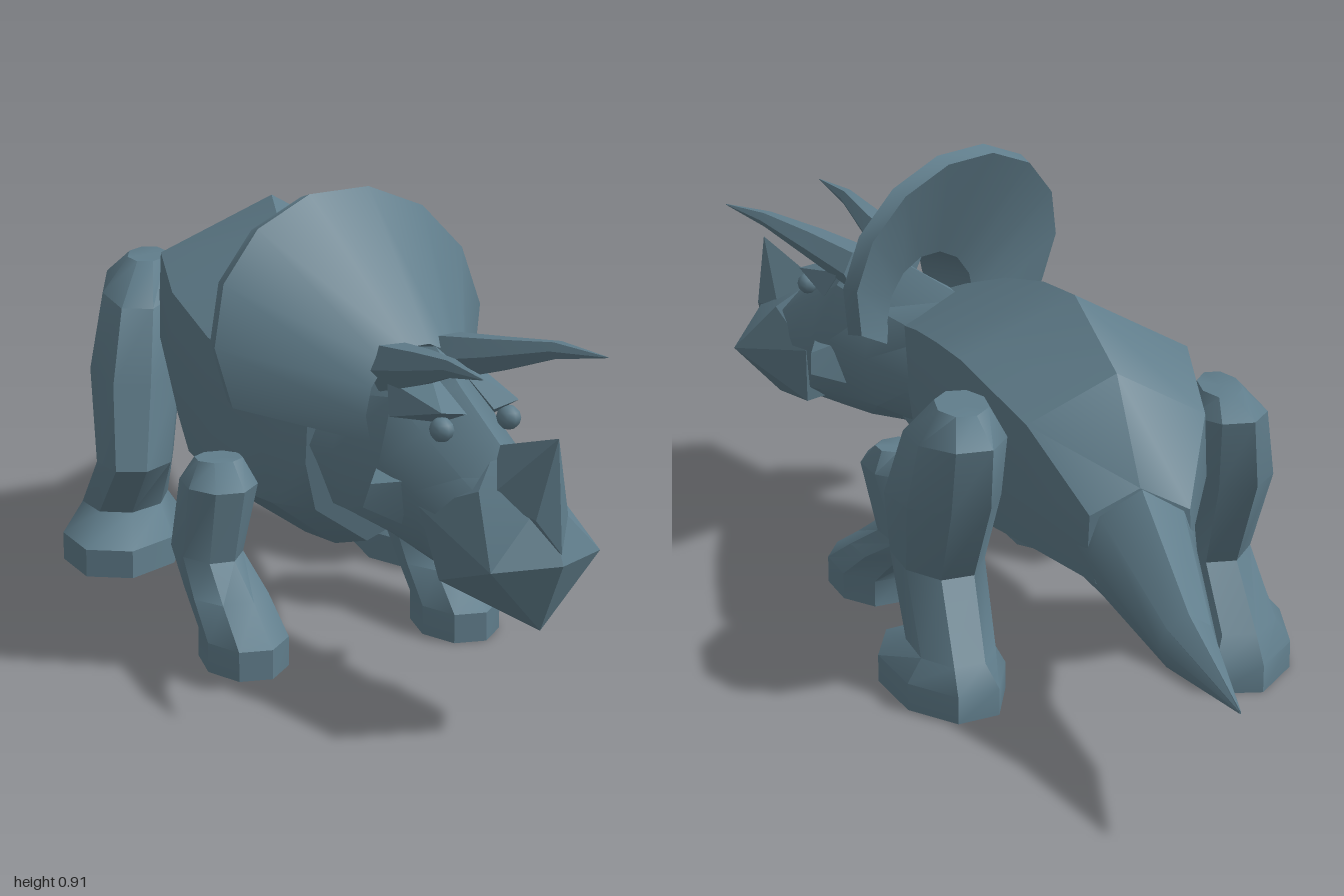
import * as THREE from 'three';
import { toCreasedNormals } from 'three/addons/utils/BufferGeometryUtils.js';
import { ConvexGeometry } from 'three/addons/geometries/ConvexGeometry.js';

const skin = new THREE.MeshStandardMaterial({ color: 0x607d8b });
skin.name = 'slate blue skin';

// Closed skin over a list of equal-sized rings of [x, y, z] points
function loft(rings) {
  const n = rings[0].length, pos = rings.flat(2), idx = [];
  for (let r = 0; r < rings.length - 1; r++)
    for (let i = 0; i < n; i++) {
      const j = (i + 1) % n, a = r * n + i, b = r * n + j;
      idx.push(a, b, b + n, a, b + n, a + n);
    }
  [0, rings.length - 1].forEach((r, end) => {
    const c = pos.length / 3;
    for (let k = 0; k < 3; k++) pos.push(rings[r].reduce((s, p) => s + p[k], 0) / n);
    for (let i = 0; i < n; i++) {
      const a = r * n + i, b = r * n + (i + 1) % n;
      end ? idx.push(a, b, c) : idx.push(b, a, c);
    }
  });
  // turn faces outward
  const P = i => new THREE.Vector3().fromArray(pos, i * 3);
  let volume = 0;
  for (let t = 0; t < idx.length; t += 3) volume += P(idx[t]).dot(P(idx[t + 1]).cross(P(idx[t + 2])));
  if (volume < 0) idx.reverse();
  const g = new THREE.BufferGeometry();
  g.setAttribute('position', new THREE.Float32BufferAttribute(pos, 3));
  g.setIndex(idx);
  return toCreasedNormals(g, 0.7);
}

function add(parent, name, geometry) {
  const m = new THREE.Mesh(geometry, skin);
  m.name = name;
  parent.add(m);
  return m;
}

// Half outlines of upright sections, top to bottom: slab-sided trunk, rounder head and tail
const octagon = half => [...half, ...half.slice(1, -1).reverse().map(([a, b]) => [-a, b])];
const TRUNK = octagon([[0, 1], [0.97, 0.58], [1, 0], [0.84, -0.6], [0, -1]]);
const ROUND = octagon([[0, 1], [0.76, 0.6], [1, 0], [0.74, -0.65], [0, -1]]);

// Section fitted to [z, xMin, xMax, yMin, yMax]
const section = outline => ([z, x0, x1, y0, y1]) => outline.map(([a, b]) =>
  [(x0 + x1) / 2 + a * (x1 - x0) / 2, (y0 + y1) / 2 + b * (y1 - y0) / 2, z]);

// Level leg section: [x, y, z, halfWidth, halfDepth, turn, tilt]
function legRing([x, y, z, rx, rz, turn = 0, tilt = 0]) {
  const c = Math.cos(turn), s = Math.sin(turn);
  return Array.from({ length: 8 }, (_, i) => {
    const t = (i + 0.5) * Math.PI / 4, u = rx * 1.06 * Math.cos(t), w = rz * 1.06 * Math.sin(t);
    return [x + u * c + w * s, y + w * tilt, z - u * s + w * c];
  });
}

// Leg from shoulder or hip down to a straight-sided foot
function addLeg(model, name, rings, [x, z, rx, rz, turn]) {
  const foot = [[x, 0.058, z, rx, rz, turn], [x, 0, z, rx, rz, turn]];
  add(model, name, loft([...rings, ...foot].map(legRing)));
}

function createHead() {
  const head = new THREE.Group();
  head.name = 'head';

  // Neck, brow and snout
  add(head, 'skull', loft([
    [-0.08, -0.15, 0.13, 0.28, 0.6], [0.1, -0.14, 0.13, 0.27, 0.63],
    [0.23, -0.125, 0.125, 0.25, 0.66], [0.31, -0.11, 0.11, 0.245, 0.6],
    [0.42, -0.1, 0.1, 0.24, 0.53], [0.5, -0.09, 0.09, 0.235, 0.48],
  ].map(section(ROUND))));

  const hull = (name, pts) => add(head, name, toCreasedNormals(
    new ConvexGeometry(pts.map(p => new THREE.Vector3(...p))), 0.4));
  hull('beak', [[0, 0.35, 0.62], [-0.12, 0.345, 0.57], [0.12, 0.345, 0.57], [0, 0.213, 0.557],
    [-0.075, 0.46, 0.47], [0.075, 0.46, 0.47], [0, 0.47, 0.57], [-0.105, 0.4, 0.33], [0.105, 0.4, 0.33],
    [-0.08, 0.265, 0.36], [0.08, 0.265, 0.36], [0, 0.52, 0.42]]);
  hull('noseHorn', [[0, 0.577, 0.6], [-0.06, 0.45, 0.48], [0.06, 0.45, 0.48],
    [0, 0.52, 0.42], [0, 0.37, 0.615], [-0.035, 0.43, 0.585], [0.035, 0.43, 0.585]]);

  for (const s of [-1, 1]) {
    const side = s < 0 ? 'right' : 'left';
    // Long brow horn, curving forward
    const path = [[0.065, 0.62, 0.18, 0.05], [0.085, 0.65, 0.31, 0.036], [0.115, 0.683, 0.44, 0.018], [0.135, 0.693, 0.56, 0.001]];
    add(head, side + 'BrowHorn', loft(path.map(([x, y, z, r]) =>
      Array.from({ length: 6 }, (_, i) => {
        const t = i * Math.PI / 3;
        return [s * x + r * Math.cos(t), y + r * Math.sin(t), z];
      }))));
    const eye = add(head, side + 'Eye', new THREE.SphereGeometry(0.023, 8, 6));
    eye.position.set(s * 0.074, 0.545, 0.355);
    hull(side + 'Brow', [[s * 0.1, 0.61, 0.22], [s * 0.03, 0.63, 0.25],
      [s * 0.085, 0.58, 0.37], [s * 0.03, 0.57, 0.37], [s * 0.115, 0.55, 0.25], [s * 0.06, 0.55, 0.33]]);
    // Cheek spike
    hull(side + 'Cheek', [[s * 0.165, 0.385, 0.24], [s * 0.155, 0.43, 0.25],
      [s * 0.1, 0.46, 0.2], [s * 0.1, 0.36, 0.19], [s * 0.1, 0.35, 0.27], [s * 0.1, 0.44, 0.3]]);
  }

  // Flared neck frill: a wedge section swept round the head, leaning back at the top
  const frill = [];
  for (let i = 0; i <= 9; i++) {
    const t = (-24 + 25.4 * i) * Math.PI / 180, c = Math.cos(t), s = Math.sin(t);
    const at = (rx, ry, y, z, lean) => [-0.15 * rx + rx * c, y + ry * s, z - lean * s];
    frill.push([at(0.115, 0.12, 0.54, 0.2, 0), at(0.297, 0.262, 0.655, 0.02, 0.04),
      at(0.287, 0.25, 0.655, -0.015, 0.04), at(0.125, 0.13, 0.54, 0.05, 0)]);
  }
  add(head, 'frill', loft(frill));

  head.position.set(0.1, 0, 0.435);
  head.rotation.y = 0.59;
  return head;
}

export function createModel() {
  const model = new THREE.Group();
  model.name = 'hornedDinosaur';

  add(model, 'body', loft([
    [-0.5, -0.25, -0.05, 0.28, 0.52], [-0.36, -0.31, 0.05, 0.25, 0.7],
    [-0.13, -0.325, 0.145, 0.2, 0.78], [0.07, -0.29, 0.165, 0.18, 0.74],
    [0.26, -0.21, 0.18, 0.185, 0.685], [0.42, -0.1, 0.19, 0.215, 0.62],
    [0.54, -0.01, 0.22, 0.26, 0.56],
  ].map(section(TRUNK))));

  add(model, 'tail', loft([
    [-0.44, -0.27, -0.02, 0.265, 0.56], [-0.51, -0.26, -0.05, 0.265, 0.51],
    [-0.74, -0.25, -0.14, 0.24, 0.365], [-1, -0.234, -0.23, 0.291, 0.297],
  ].map(section(ROUND))));

  addLeg(model, 'rightRearLeg', [
    [-0.355, 0.625, -0.26, 0.04, 0.07], [-0.365, 0.57, -0.24, 0.08, 0.15, 0, -0.15],
    [-0.375, 0.42, -0.2, 0.095, 0.16, 0, -0.15], [-0.375, 0.23, -0.11, 0.078, 0.125],
    [-0.405, 0.11, -0.21, 0.085, 0.12, -0.1],
  ], [-0.405, -0.18, 0.12, 0.19, -0.1]);

  addLeg(model, 'leftRearLeg', [
    [0.16, 0.63, -0.29, 0.05, 0.07], [0.17, 0.56, -0.27, 0.09, 0.16, 0.1, -0.15],
    [0.19, 0.42, -0.23, 0.1, 0.17, 0.2, -0.15], [0.19, 0.25, -0.145, 0.085, 0.125, 0.2],
    [0.18, 0.105, -0.255, 0.08, 0.115, 0.2],
  ], [0.195, -0.23, 0.11, 0.175, 0.3]);

  // Front legs share one bent shape, placed with a different stride
  for (const [name, x, z] of [['rightFrontLeg', -0.13, 0.485], ['leftFrontLeg', 0.28, 0.27]]) {
    addLeg(model, name, [
      [x - 0.05, 0.37, z - 0.12, 0.045, 0.04, 0.3], [x - 0.05, 0.325, z - 0.11, 0.07, 0.09, 0.3],
      [x - 0.075, 0.18, z - 0.14, 0.062, 0.1, 0.35], [x - 0.035, 0.12, z - 0.065, 0.075, 0.095, 0.3],
    ], [x, z, 0.08, 0.115, 0.25]);
  }

  model.add(createHead());
  return model;
}
